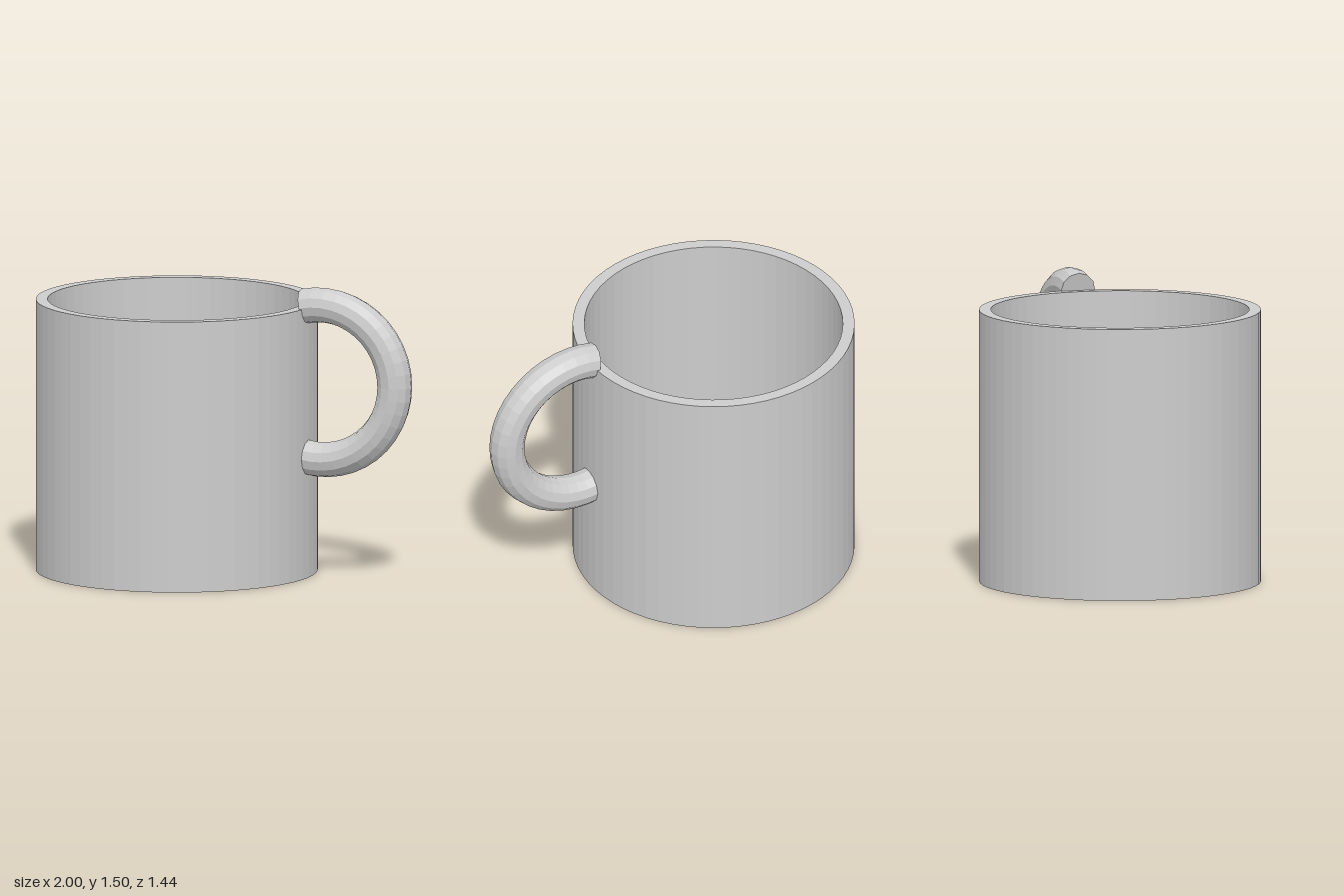
import * as THREE from 'three';

const RADIUS = 0.72, INNER = 0.66, HEIGHT = 1.4, FLOOR = 0.06;
const RING = 0.4, TUBE = 0.09, HALF_ARC = 1.8;

export function createModel() {
  const model = new THREE.Group();
  model.name = 'mug';
  const ceramic = new THREE.MeshStandardMaterial({ color: 0xcccccc, flatShading: true });
  ceramic.name = 'grey ceramic';

  const add = (parent, name, geometry) => {
    const mesh = new THREE.Mesh(geometry, ceramic);
    mesh.name = name;
    parent.add(mesh);
    return mesh;
  };

  // Hollow cup: underside, outer wall, flat rim, inner wall and inner floor
  const profile = [
    [0, 0], [RADIUS, 0], [RADIUS, HEIGHT],
    [INNER, HEIGHT], [INNER, FLOOR], [0, FLOOR],
  ].map(([x, y]) => new THREE.Vector2(x, y));
  add(model, 'cup', new THREE.LatheGeometry(profile, 64)).position.x = -0.28;

  // Handle: partial ring, open towards the cup, with capped ends
  const handle = new THREE.Group();
  handle.name = 'handle';
  handle.position.set(0.51, 1.015, 0);
  handle.rotation.z = -HALF_ARC;
  model.add(handle);
  add(handle, 'handleRing', new THREE.TorusGeometry(RING, TUBE, 12, 24, HALF_ARC * 2));

  const cap = (name, tilt, angle) => add(handle, name,
    new THREE.CircleGeometry(TUBE, 12).rotateX(tilt).translate(RING, 0, 0).rotateZ(angle));
  cap('lowerHandleEnd', Math.PI / 2, 0);
  cap('upperHandleEnd', -Math.PI / 2, HALF_ARC * 2);

  return model;
}
